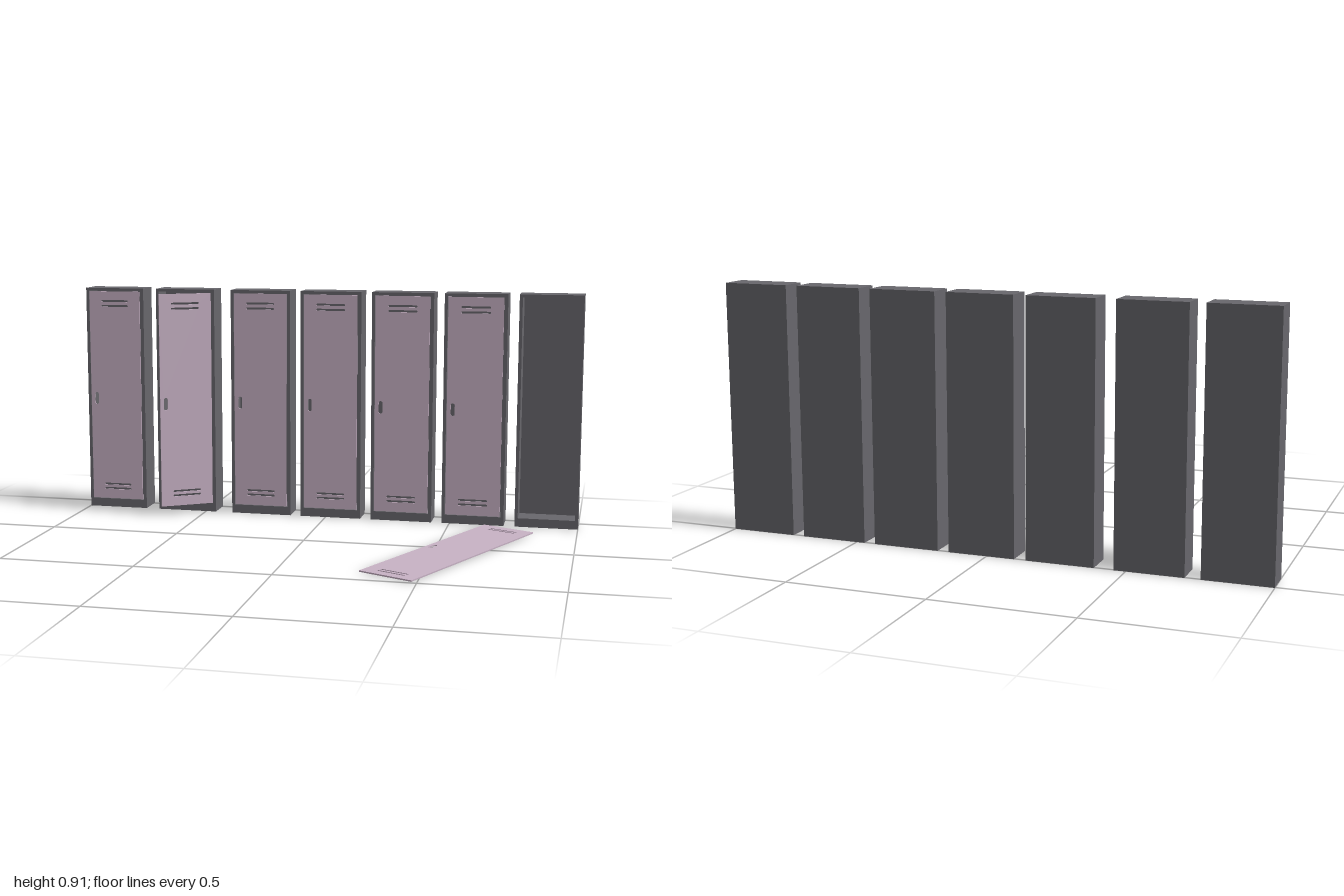
import * as THREE from 'three';

const W = 0.244, H = 0.908, DEPTH = 0.105, BACK = -0.505; // cabinet
const DW = 0.214, DH = 0.858, DT = 0.005, D_BOTTOM = 0.037; // door

function rect(target, x0, y0, x1, y1) {
  target.moveTo(x0, y0);
  target.lineTo(x1, y0);
  target.lineTo(x1, y1);
  target.lineTo(x0, y1);
  target.closePath();
  return target;
}

// Rounded slot, lying flat or standing
function slot(cx, cy, w, h) {
  const p = new THREE.Path();
  const r = Math.min(w, h) / 2, dx = w / 2 - r, dy = h / 2 - r;
  p.absarc(cx + dx, cy + dy, r, 0, Math.PI / 2);
  p.absarc(cx - dx, cy + dy, r, Math.PI / 2, Math.PI);
  p.absarc(cx - dx, cy - dy, r, Math.PI, Math.PI * 1.5);
  p.absarc(cx + dx, cy - dy, r, Math.PI * 1.5, Math.PI * 2);
  p.closePath();
  return p;
}

export function createModel() {
  const model = new THREE.Group();
  model.name = 'lockerRow';
  const steel = new THREE.MeshStandardMaterial({ color: 0x68676c });
  steel.name = 'dark grey steel';
  const paint = new THREE.MeshStandardMaterial({ color: 0xc8b2c5 });
  paint.name = 'pale mauve paint';

  // Cabinet: frame with a tall opening, closed by a back panel
  const backT = 0.01;
  const frameShape = rect(new THREE.Shape(), -W / 2, 0, W / 2, H);
  frameShape.holes.push(rect(new THREE.Path(), -W / 2 + 0.012, 0.034, W / 2 - 0.012, H - 0.011));
  const frameGeo = new THREE.ExtrudeGeometry(frameShape, { depth: DEPTH - backT, bevelEnabled: false });
  frameGeo.translate(0, 0, backT);
  const backGeo = new THREE.BoxGeometry(W, H, backT);
  backGeo.translate(0, H / 2, backT / 2);

  // Door: thin sheet pierced by two pairs of vents and a handle slot
  const doorShape = rect(new THREE.Shape(), -DW / 2, -DH / 2, DW / 2, DH / 2);
  for (const y of [0.39, 0.37, -0.369, -0.387]) doorShape.holes.push(slot(0, y, 0.115, 0.008));
  doorShape.holes.push(slot(-0.084, -0.011, 0.016, 0.05));
  const doorGeo = new THREE.ExtrudeGeometry(doorShape, { depth: DT, bevelEnabled: false, curveSegments: 4 });

  function addDoor(name, x, y, z) {
    const door = new THREE.Mesh(doorGeo, paint);
    door.name = name;
    door.position.set(x, y, z);
    model.add(door);
    return door;
  }

  const front = BACK + DEPTH, doorY = D_BOTTOM + DH / 2;
  const centres = [-0.878, -0.58, -0.267, -0.02, 0.307, 0.591, 0.878];
  centres[4] = 0.306;
  centres[3] = 0.02;
  centres.forEach((x, i) => {
    const cabinet = new THREE.Group();
    cabinet.name = 'cabinet' + (i + 1);
    const frame = new THREE.Mesh(frameGeo, steel);
    frame.name = 'frame';
    const back = new THREE.Mesh(backGeo, steel);
    back.name = 'backPanel';
    cabinet.add(frame, back);
    cabinet.position.set(x, 0, BACK);
    model.add(cabinet);

    if (i === 1) {
      // Door ajar, turned about its hinge on the +x edge
      const a = 0.57;
      const door = addDoor('openDoor', x + DW / 2 * (1 - Math.cos(a)), doorY, front + DW / 2 * Math.sin(a));
      door.rotation.y = a;
    } else if (i < 6) {
      addDoor('closedDoor' + (i + 1), x, doorY, front);
    }
  });

  // Door of the last cabinet, lying face down on the floor
  const fallen = addDoor('fallenDoor', 0.5625, 0.01, 0.069);
  fallen.rotation.set(Math.PI / 2, 0, 0.425);

  // Stand exactly centred on the ground
  return model;
}
